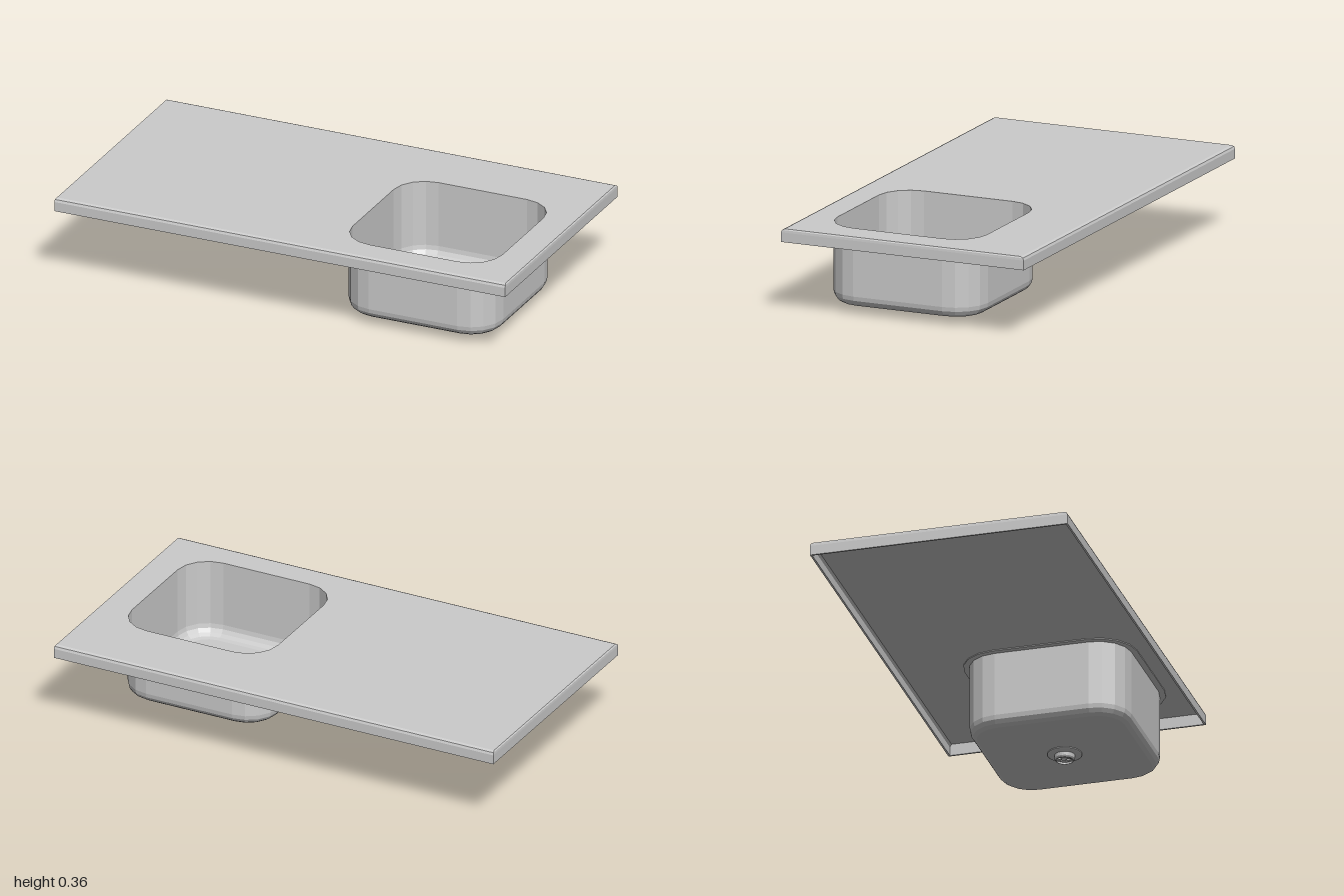
import * as THREE from 'three';

const material = new THREE.MeshStandardMaterial({ color: 0xcccccc, flatShading: true, side: THREE.DoubleSide });
const smooth = new THREE.MeshStandardMaterial({ color: 0xcccccc, side: THREE.DoubleSide });

// Rounded rectangle as [x, z] points; seg = 0 gives plain corners
function outline(hw, hd, r = 0, seg = 0) {
  const pts = [];
  [[1, 1], [-1, 1], [-1, -1], [1, -1]].forEach(([sx, sz], q) => {
    for (let i = 0; i <= seg; i++) {
      const a = (q + (seg ? i / seg : 0.5)) * Math.PI / 2;
      pts.push([sx * (hw - r) + r * Math.cos(a), sz * (hd - r) + r * Math.sin(a)]);
    }
  });
  return pts;
}

// Skin through a list of { pts, y } rings
function loft(rings) {
  const pos = [], idx = [], n = rings[0].pts.length;
  rings.forEach(({ pts, y }) => pts.forEach(([x, z]) => pos.push(x, y, z)));
  for (let k = 0; k < rings.length - 1; k++) {
    for (let i = 0; i < n; i++) {
      const a = k * n + i, b = k * n + (i + 1) % n;
      idx.push(a, a + n, b, b, a + n, b + n);
    }
  }
  const g = new THREE.BufferGeometry();
  g.setAttribute('position', new THREE.Float32BufferAttribute(pos, 3));
  g.setIndex(idx);
  g.computeVertexNormals();
  return g;
}

// Flat horizontal sheet with one hole, facing up or down
function plate(pts, hole, y, up) {
  const s = up ? -1 : 1;
  const toPath = (list) => list.map(([x, z]) => new THREE.Vector2(x, s * z));
  const shape = new THREE.Shape(toPath(pts));
  shape.holes.push(new THREE.Path(toPath(hole)));
  return new THREE.ShapeGeometry(shape).rotateX(s * Math.PI / 2).translate(0, y, 0);
}

function add(parent, name, geometry, mat = material) {
  const mesh = new THREE.Mesh(geometry, mat);
  mesh.name = name;
  parent.add(mesh);
  return mesh;
}

export function createModel() {
  const model = new THREE.Group();
  model.name = 'sinkTop';
  const top = 0.363, under = 0.357, skirt = 0.308, floor = 0.031;
  const cx = 0.535, cz = 0.082;

  // Bowl outline at a given inset from the outer wall
  const bowlRing = (inset) => outline(0.336 - inset, 0.337 - inset, 0.14 - inset, 4);
  const cutout = bowlRing(0).map(([x, z]) => [x + cx, z + cz]);

  // Worktop: folded sheet with a turned-down skirt, rounded along front and back
  const worktop = new THREE.Group();
  worktop.name = 'worktop';
  model.add(worktop);
  const deckRing = (ix, iz, y) => ({ pts: outline(1 - ix, 0.54 - iz), y });
  add(worktop, 'skirt', loft([
    deckRing(0.008, 0.015, under), deckRing(0.008, 0.008, under - 0.012),
    deckRing(0.008, 0.008, skirt), deckRing(0, 0, skirt), deckRing(0, 0, top - 0.015),
    deckRing(0.001, 0.004, top - 0.005), deckRing(0.005, 0.015, top),
  ]));
  add(worktop, 'deckTop', plate(deckRing(0.005, 0.015).pts, cutout, top, true));
  add(worktop, 'deckUnderside', plate(deckRing(0.008, 0.015).pts, cutout, under, false));

  // Bowl: outer wall, hidden mounting flange, lip and inner wall
  const bowl = new THREE.Group();
  bowl.name = 'bowl';
  bowl.position.set(cx, 0, cz);
  model.add(bowl);
  const fillet = 0.048, t = 0.004, steps = 4;
  const rings = [], inner = [];
  for (let i = 0; i <= steps; i++) {
    const a = (i / steps) * Math.PI / 2;
    const inset = fillet * (1 - Math.sin(a)), rise = fillet * (1 - Math.cos(a));
    rings.push({ pts: bowlRing(inset), y: floor + rise });
    inner.unshift({ pts: bowlRing(inset + t), y: floor + t + rise });
  }
  rings.push(
    { pts: bowlRing(0), y: 0.352 }, { pts: bowlRing(-0.025), y: 0.352 },
    { pts: bowlRing(-0.025), y: under - 0.001 }, { pts: bowlRing(0), y: under - 0.001 },
    { pts: bowlRing(0), y: top }, { pts: bowlRing(t), y: top }, ...inner,
  );
  add(bowl, 'bowlWalls', loft(rings));
  const drainHole = outline(0.07, 0.07, 0.07, 8);
  add(bowl, 'bowlFloor', plate(bowlRing(fillet + t), drainHole, floor + t, true));
  add(bowl, 'bowlUnderside', plate(bowlRing(fillet), drainHole, floor, false));

  // Drain: shallow recess stepping down into an open cup
  const profile = [[0.07, 0.035], [0.07, 0.027], [0.066, 0.024], [0.042, 0.023], [0.041, 0.008], [0.037, 0.001], [0.033, 0]];
  add(bowl, 'drainCup', new THREE.LatheGeometry(profile.map(([r, y]) => new THREE.Vector2(r, y)).reverse(), 32));

  // Strainer: disc with six wedge openings between spokes
  const disc = new THREE.Shape().absarc(0, 0, 0.041, 0, Math.PI * 2);
  for (let i = 0; i < 6; i++) {
    const a = i * Math.PI / 3;
    const hole = new THREE.Path();
    hole.absarc(0, 0, 0.032, a + 0.13, a + Math.PI / 3 - 0.13, false);
    hole.absarc(0, 0, 0.013, a + Math.PI / 3 - 0.25, a + 0.25, true);
    disc.holes.push(hole);
  }
  const strainer = new THREE.ExtrudeGeometry(disc, { depth: 0.004, bevelEnabled: false, curveSegments: 12 });
  add(bowl, 'strainer', strainer.rotateX(-Math.PI / 2).translate(0, 0.012, 0), smooth);

  return model;
}
